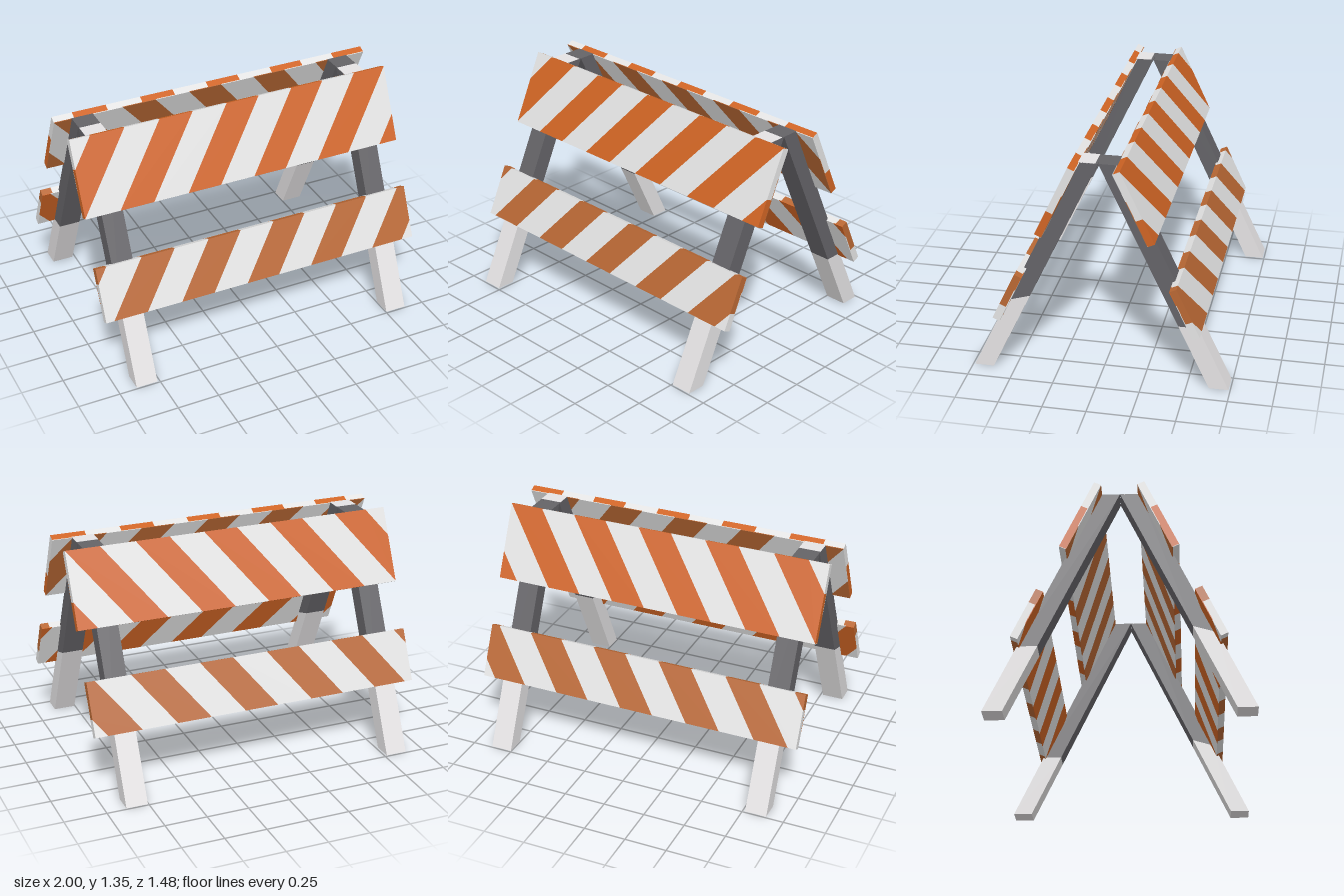
import * as THREE from 'three';

const mat = (name, color) => {
  const m = new THREE.MeshStandardMaterial({ color });
  m.name = name;
  return m;
};

// Cut a polygon of [x, y] points at x = limit, keeping the side given by sign
function clipX(points, limit, sign) {
  const out = [];
  points.forEach((p, i) => {
    const q = points[(i + 1) % points.length];
    const dp = (limit - p[0]) * sign, dq = (limit - q[0]) * sign;
    if (dp >= 0) out.push(p);
    if (dp * dq < 0) {
      const t = dp / (dp - dq);
      out.push([limit, p[1] + (q[1] - p[1]) * t]);
    }
  });
  return out;
}

const prism = (points, depth) => new THREE.ExtrudeGeometry(
  new THREE.Shape(points.map(([x, y]) => new THREE.Vector2(x, y))),
  { depth, bevelEnabled: false }
);

export function createModel() {
  const model = new THREE.Group();
  model.name = 'barricade';

  const white = mat('white', 0xe3e3e3);
  const brightOrange = mat('bright orange', 0xcf6424);
  const fadedOrange = mat('faded orange', 0xb96834);
  const darkGrey = mat('dark grey', 0x646367);
  const legWhite = mat('leg white', 0xe4e2e3);

  const add = (parent, name, geometry, material) => {
    const mesh = new THREE.Mesh(geometry, material);
    mesh.name = name;
    parent.add(mesh);
    return mesh;
  };

  // Striped boards, each leaning inward on the front or back legs
  const LEAN = Math.atan(0.468), THICK = 0.044, PLATE = 0.004, SLANT = 0.73;
  const PERIOD = 0.418, STRIPE = 0.205;

  function board(name, side, { height, y, z, firstStripe, outerOrange, innerOrange }) {
    const group = new THREE.Group();
    group.name = name;
    // One layer of stripes between two depths; flip mirrors the pattern in x
    const layer = (label, near, far, flip, orange) => {
      const strip = (part, x0, x1, material) => {
        const shift = SLANT * height;
        let pts = [[x0 - shift, 0], [x1 - shift, 0], [x1, height], [x0, height]];
        pts = clipX(clipX(pts, 1, 1), -1, -1);
        if (pts.length < 3) return;
        const geometry = prism(pts.map(([x, h]) => [x * flip, h]), far - near);
        geometry.translate(0, 0, side > 0 ? -far : near);
        add(group, label + part, geometry, material);
      };
      for (let i = -1; i < 7; i++) {
        const x = firstStripe + i * PERIOD;
        strip('OrangeStripe', x, x + STRIPE, orange);
        strip('WhiteStripe', x + STRIPE, x + PERIOD, white);
      }
    };
    layer('outer', 0, THICK - PLATE, 1, outerOrange);
    layer('inner', THICK - PLATE, THICK, -1, innerOrange);
    group.position.set(0, y, z * side);
    group.rotation.x = -LEAN * side;
    model.add(group);
  }

  const upper = {
    height: 0.452, y: 0.937, z: 0.333, firstStripe: -0.877,
    outerOrange: brightOrange, innerOrange: fadedOrange
  };
  const lower = {
    height: 0.315, y: 0.39, z: 0.587, firstStripe: -0.722,
    outerOrange: fadedOrange, innerOrange: brightOrange
  };

  // Slanted legs, dark above and pale at the foot
  const TOP = 1.33, WIDTH = 0.128;
  const outer = y => 0.74 - 0.472 * y;
  const inner = y => outer(y) - 0.112;

  function leg(name, x, side, cutOuter, cutInner) {
    const group = new THREE.Group();
    group.name = name;
    const section = (label, a, b, c, d, material) => {
      const pts = [[outer(a), a], [inner(b), b], [inner(c), c], [outer(d), d]];
      const geometry = prism(pts.map(([z, y]) => [z * side, y]), WIDTH);
      geometry.rotateY(-Math.PI / 2).translate(WIDTH / 2, 0, 0);
      add(group, label, geometry, material);
    };
    section('foot', 0, 0, cutInner, cutOuter, legWhite);
    section('upperLeg', cutOuter, cutInner, TOP, TOP, darkGrey);
    if (side > 0) {
      // Pale cap on the cut end
      const cap = add(group, 'legCap', new THREE.BoxGeometry(WIDTH, 0.003, 0.095), legWhite);
      cap.position.set(0, TOP, 0.062);
    }
    group.position.x = x;
    model.add(group);
  }

  for (const side of [1, -1]) {
    const place = side > 0 ? 'front' : 'back';
    board(place + 'UpperBoard', side, upper);
    board(place + 'LowerBoard', side, lower);
    const cuts = side > 0 ? [0.445, 0.485] : [0.38, 0.38];
    leg(place + 'LeftLeg', 0.818, side, ...cuts);
    leg(place + 'RightLeg', -0.829, side, ...cuts);
  }

  return model;
}
